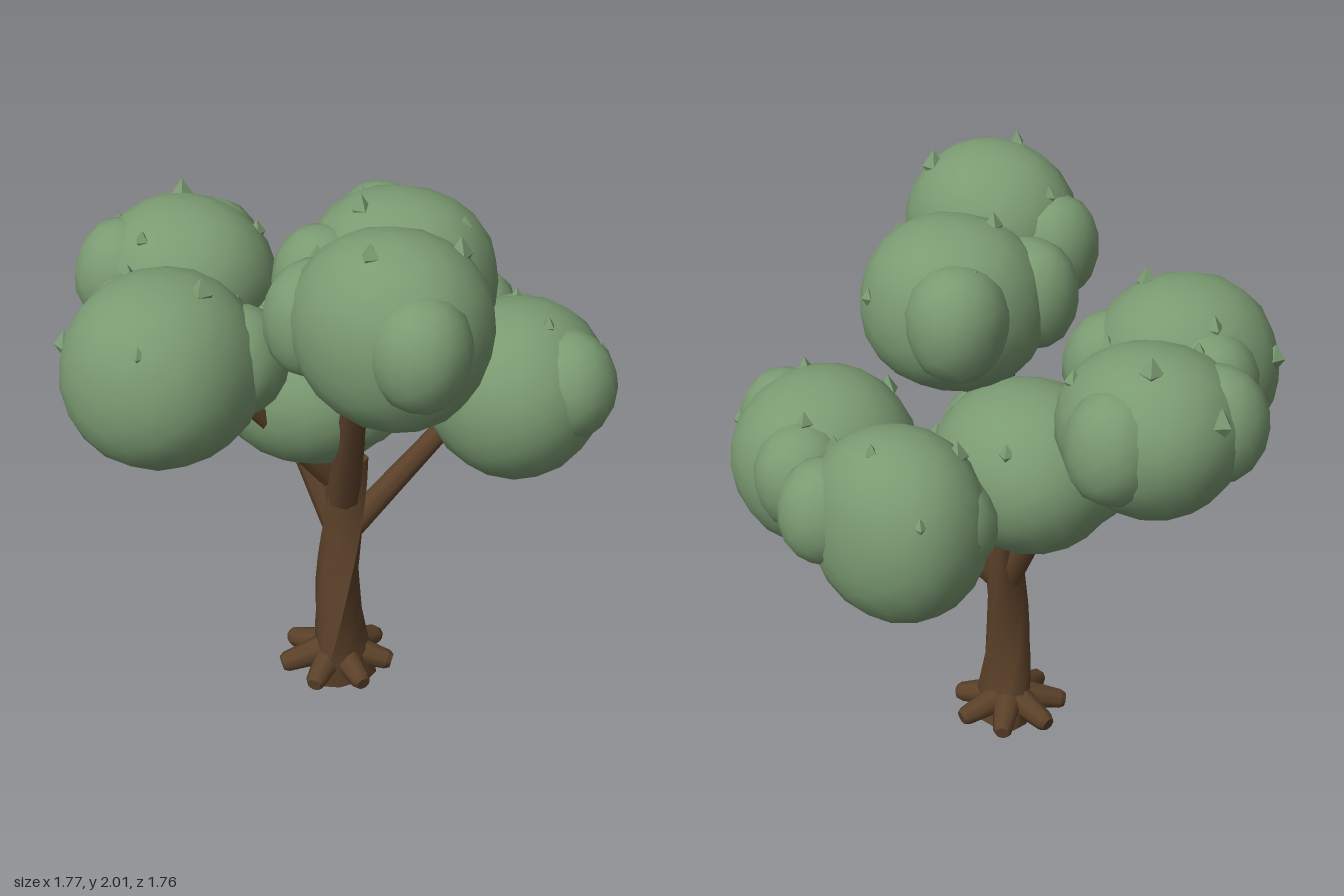
import * as THREE from 'three';
import { mergeVertices } from 'three/addons/utils/BufferGeometryUtils.js';

const V = (x, y, z) => new THREE.Vector3(x, y, z);

export function createModel() {
  const leaf = new THREE.MeshStandardMaterial({ color: 0x7b9b72 });
  leaf.name = 'leaf green';
  const bark = new THREE.MeshStandardMaterial({ color: 0x5b4129 });
  bark.name = 'bark brown';
  const tree = new THREE.Group();
  tree.name = 'tree';

  function add(parent, name, geometry, material) {
    const mesh = new THREE.Mesh(geometry, material);
    mesh.name = name;
    parent.add(mesh);
    return mesh;
  }

  // Slightly lumpy, boxy, smooth-shaded ball
  function lumpyBall(detail, phase, amount) {
    let g = new THREE.IcosahedronGeometry(1, detail);
    g.deleteAttribute('uv');
    g.deleteAttribute('normal');
    g = mergeVertices(g, 1e-4);
    const p = g.attributes.position, v = V(0, 0, 0);
    for (let i = 0; i < p.count; i++) {
      v.fromBufferAttribute(p, i);
      const n = Math.sin(v.x * 4 + phase) + Math.sin(v.y * 5 + phase * 2) + Math.sin(v.z * 4.5 - phase);
      const boxy = 1 - (v.x ** 4 + v.y ** 4 + v.z ** 4);
      v.multiplyScalar(1 + amount * n / 3 + 0.06 * boxy);
      p.setXYZ(i, v.x, v.y, v.z);
    }
    g.computeVertexNormals();
    return g;
  }

  // Tapered limb between two points
  function limb(parent, name, a, b, r0, r1) {
    const d = b.clone().sub(a);
    const m = add(parent, name, new THREE.CylinderGeometry(r1, r0, d.length(), 8), bark);
    m.position.copy(a).addScaledVector(d, 0.5);
    m.quaternion.setFromUnitVectors(V(0, 1, 0), d.normalize());
  }

  // Twisted, ridged trunk, flaring a little at the foot
  const foot = 0.01, height = 0.87, cx = 0.07, cz = 0.04;
  const trunk = new THREE.CylinderGeometry(1, 1, height, 12, 9);
  trunk.translate(0, height / 2, 0);
  const p = trunk.attributes.position;
  for (let i = 0; i < p.count; i++) {
    const y = p.getY(i), t = y / height;
    const len = Math.hypot(p.getX(i), p.getZ(i));
    const a = Math.atan2(p.getX(i), p.getZ(i));
    const r = len * (0.068 + 0.042 * Math.pow(1 - t, 3)) * (1 + 0.13 * Math.cos(a * 3));
    const w = a + t * 2.2;
    p.setXYZ(i, cx + 0.025 * Math.pow(1 - t, 2) + 0.015 * t + Math.sin(w) * r, y + foot,
      cz + 0.015 * Math.sin(t * 5) - 0.02 * t + Math.cos(w) * r);
  }
  trunk.computeVertexNormals();
  add(tree, 'trunk', trunk, bark);

  // Ring of stubby roots with rounded tips
  const roots = new THREE.Group();
  roots.name = 'roots';
  tree.add(roots);
  for (let i = 0; i < 7; i++) {
    const a = (i / 7) * Math.PI * 2 + 0.2;
    const at = (r, y) => V(cx + Math.sin(a) * r, y, cz + Math.cos(a) * r);
    limb(roots, 'root', at(0.06, 0.1), at(0.185, 0.07), 0.052, 0.036);
    limb(roots, 'rootTip', at(0.185, 0.07), at(0.202, 0.066), 0.036, 0.026);
  }

  // Branches reaching into the foliage
  const branches = new THREE.Group();
  branches.name = 'branches';
  tree.add(branches);
  limb(branches, 'frontLeftBranch', V(0.09, 0.74, 0.03), V(0.4, 1.75, 0.34), 0.06, 0.028);
  limb(branches, 'backLeftBranch', V(0.09, 0.58, 0.03), V(0.34, 0.99, -0.27), 0.05, 0.035);
  limb(branches, 'rightBranch', V(0.07, 0.6, 0.03), V(-0.25, 1.18, 0.02), 0.05, 0.035);
  limb(branches, 'frontRightBranch', V(0.05, 0.82, 0.05), V(-0.15, 1.32, 0.42), 0.045, 0.032);
  limb(branches, 'centreBranch', V(0.08, 0.8, 0.03), V(0.18, 1.5, -0.05), 0.045, 0.03);

  // Foliage: name, centre, radii, side lobes as [x, y, z, radius]
  const clumps = [
    ['frontLeftHighFoliage', [0.54, 1.69, 0.43], [0.315, 0.31, 0.285],
      [[0.73, 1.72, 0.57, 0.155], [0.29, 1.67, 0.48, 0.16]]],
    ['frontRightFoliage', [-0.26, 1.36, 0.555], [0.325, 0.32, 0.325],
      [[-0.08, 1.37, 0.38, 0.16], [-0.47, 1.4, 0.45, 0.16]]],
    ['rightFoliage', [-0.56, 1.41, 0.05], [0.31, 0.28, 0.295],
      [[-0.58, 1.42, -0.14, 0.165], [-0.71, 1.43, 0.19, 0.17]]],
    ['centreHighFoliage', [0.28, 1.61, -0.01], [0.315, 0.295, 0.31],
      [[0.1, 1.64, -0.17, 0.17], [0.12, 1.63, 0.19, 0.165]]],
    ['backLeftFoliage', [0.5, 1.1, -0.42], [0.31, 0.31, 0.315],
      [[0.69, 1.16, -0.42, 0.17], [0.38, 1.14, -0.62, 0.16]]],
    ['backFoliage', [-0.045, 1.115, -0.585], [0.32, 0.325, 0.26],
      [[0.14, 1.14, -0.73, 0.155], [-0.2, 1.13, -0.5, 0.15]]],
    ['centreLowFoliage', [-0.08, 1.13, -0.02], [0.325, 0.29, 0.315],
      [[0.15, 1.15, 0, 0.15], [-0.25, 1.11, 0.08, 0.15]]],
  ];
  clumps.forEach(([name, centre, radii, lobes], k) => {
    const group = new THREE.Group();
    group.name = name;
    tree.add(group);
    const main = add(group, 'crown', lumpyBall(3, k * 1.7, 0.025), leaf);
    main.position.set(...centre);
    main.scale.set(...radii);
    lobes.forEach(([x, y, z, r], j) => {
      const lobe = add(group, 'lobe', lumpyBall(2, k + j * 2.3, 0.03), leaf);
      lobe.position.set(x, y, z);
      lobe.scale.set(r, r * 1.17, r);
    });
    // Leaf tufts spiralling down the upper surface, half sunk into it
    for (let i = 0; i < 5; i++) {
      const a = i * 2.4 + k * 1.9, up = 0.9 - i * 0.17;
      const flat = Math.sqrt(1 - up * up), size = 0.032 + 0.008 * Math.sin(i * 2 + k);
      const tuft = add(group, 'leafTuft', new THREE.OctahedronGeometry(1, 0), leaf);
      tuft.position.set(Math.sin(a) * flat, up, Math.cos(a) * flat)
        .multiply(V(...radii)).add(V(...centre));
      tuft.scale.set(size, size * 1.5, size);
      tuft.rotation.y = a;
    }
  });
  return tree;
}
